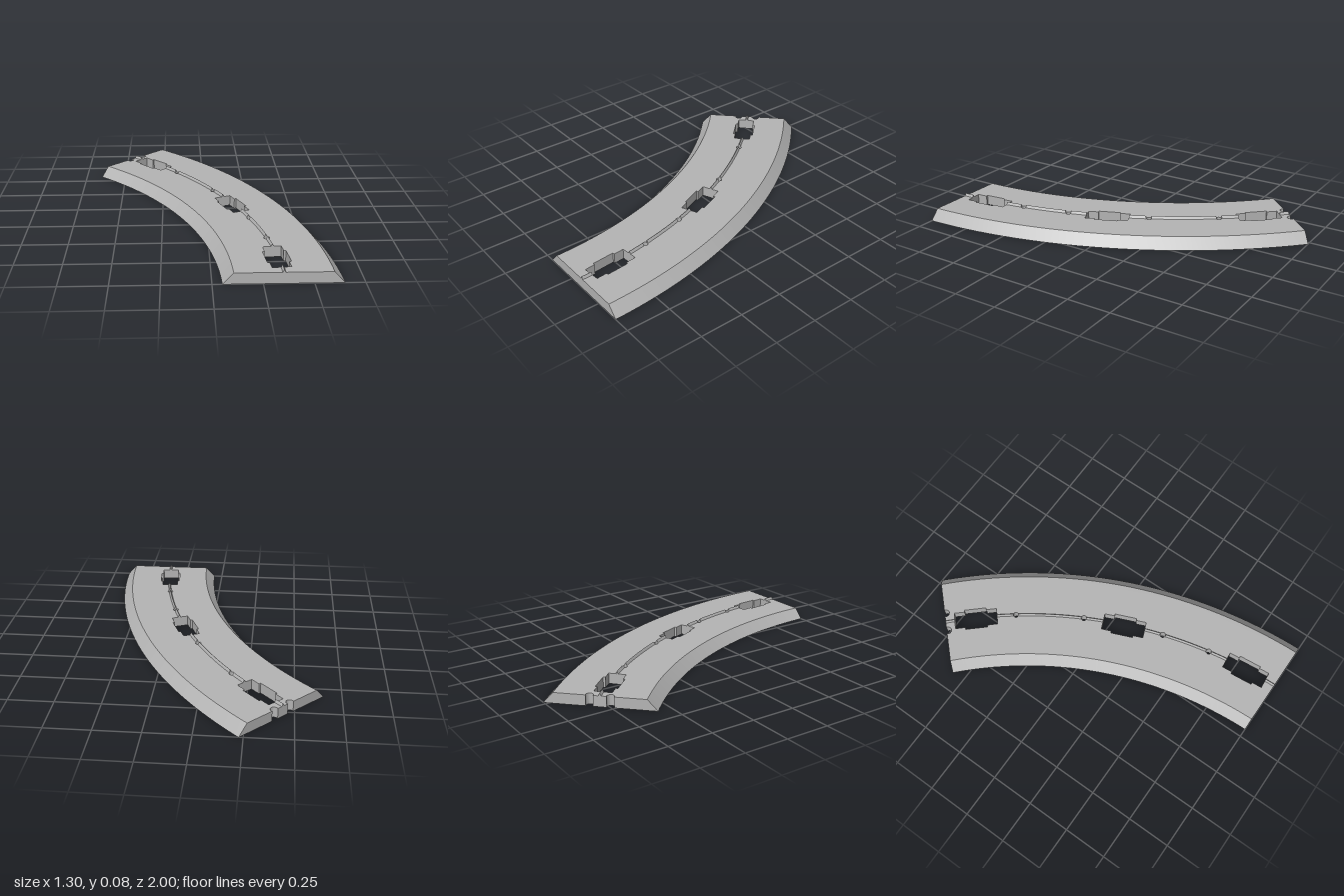
import * as THREE from 'three';
import { toCreasedNormals, mergeGeometries } from 'three/addons/utils/BufferGeometryUtils.js';

// Plan: arcs around (CX, CZ); angle t runs from the front end to the back end
const CX = -2.205, CZ = 1.059;
const R = 2.556, INNER = R - 0.3, OUTER = R + 0.3;
const HEIGHT = 0.06, BEVEL = 0.055, RIDGE = 0.0155, STEPS = 48;
const deg = THREE.MathUtils.degToRad;
const slots = [5.45, 22.5, 42.3].map(deg);
const pins = [10.8, 17.2, 27.9, 36.95].map(deg);

// Both ends are cut by straight planes lying slightly past the radial line
const startAngle = (r) => Math.asin(0.059 / r);
const endAngle = (r) => Math.PI / 4 + Math.asin(0.059 / r);
const polar = (r, t) => new THREE.Vector2(CX + r * Math.cos(t), r * Math.sin(t) - CZ);
const along = (r, u) => polar(r, THREE.MathUtils.lerp(startAngle(r), endAngle(r), u));

function outline() {
  const pts = [];
  for (let i = 0; i <= STEPS; i++) pts.push(along(OUTER, i / STEPS));
  // two round notches in the back end
  const mid = along(R, 1), k = Math.SQRT1_2, rad = 0.021;
  for (const s of [-0.055, 0.055]) {
    for (let i = 0; i <= 12; i++) {
      const a = deg(-20 + (220 * i) / 12);
      const across = s - rad * Math.cos(a);
      const inward = rad * (Math.sin(a) + Math.sin(deg(20)));
      pts.push(new THREE.Vector2(mid.x + k * (inward - across), mid.y - k * (inward + across)));
    }
  }
  for (let i = STEPS; i >= 0; i--) pts.push(along(INNER, i / STEPS));
  return new THREE.Shape(pts);
}

// Cross-shaped opening turned to follow the curve
function slotHole(t) {
  const c = polar(R - 0.006, t), e = [Math.cos(t), Math.sin(t)];
  const w = 0.049, W = 0.061, l = 0.065, L = 0.125;
  const cross = [[w, -L], [w, -l], [W, -l], [W, l], [w, l], [w, L],
    [-w, L], [-w, l], [-W, l], [-W, -l], [-w, -l], [-w, -L]];
  return new THREE.Path(cross.map(([a, b]) =>
    new THREE.Vector2(c.x + a * e[0] - b * e[1], c.y + a * e[1] + b * e[0])));
}

function pinHole(t) {
  const c = polar(R, t);
  return new THREE.Path().absarc(c.x, c.y, 0.016, 0, Math.PI * 2, true);
}

function slabGeometry() {
  const shape = outline();
  shape.holes.push(...slots.map(slotHole), ...pins.map(pinHole));
  const geo = new THREE.ExtrudeGeometry(shape, { depth: HEIGHT, bevelEnabled: false, curveSegments: 8 });
  // pull the top of both long edges inward to make the sloping shoulders
  const p = geo.attributes.position;
  for (let i = 0; i < p.count; i++) {
    if (p.getZ(i) < HEIGHT / 2) continue;
    const dx = p.getX(i) - CX, dy = p.getY(i) + CZ;
    const r = Math.hypot(dx, dy), t = Math.atan2(dy, dx);
    const u = (t - startAngle(r)) / (endAngle(r) - startAngle(r));
    let target = 0;
    if (Math.abs(r - OUTER) < 0.001) target = OUTER - BEVEL;
    if (Math.abs(r - INNER) < 0.001) target = INNER + BEVEL;
    if (target) {
      const q = along(target, u);
      p.setXY(i, q.x, q.y);
    }
  }
  geo.rotateX(-Math.PI / 2);
  geo.deleteAttribute('normal');
  return toCreasedNormals(geo, 0.4);
}

// One piece of the thin triangular ridge, with closed ends
function ridgeGeometry(t0, t1) {
  const profile = [[R + 0.008, HEIGHT], [R, HEIGHT + RIDGE], [R - 0.008, HEIGHT]]
    .map(([x, y]) => new THREE.Vector2(x, y));
  const n = Math.max(2, Math.ceil((t1 - t0) / 0.015));
  const sweep = new THREE.LatheGeometry(profile, n, t0 + Math.PI / 2, t1 - t0);
  const caps = [t0, t1].map((t) => new THREE.ShapeGeometry(new THREE.Shape(profile)).rotateY(t));
  return toCreasedNormals(mergeGeometries([sweep, ...caps]), 0.4).translate(CX, 0, CZ);
}

export function createModel() {
  const group = new THREE.Group();
  group.name = 'curvedRoadSection';
  const grey = new THREE.MeshStandardMaterial({ color: 0xb4b4b4, side: THREE.DoubleSide });
  grey.name = 'grey';

  const slab = new THREE.Mesh(slabGeometry(), grey);
  slab.name = 'roadSlab';
  group.add(slab);

  // ridge pieces run between the openings
  const gaps = [...slots.map((t) => [t, 0.125 / R]), ...pins.map((t) => [t, 0.016 / R])]
    .sort((a, b) => a[0] - b[0]);
  let from = startAngle(R);
  for (const [t, half] of [...gaps, [endAngle(R), 0]]) {
    const ridge = new THREE.Mesh(ridgeGeometry(from, t - half), grey);
    ridge.name = 'centreRidge';
    group.add(ridge);
    from = t + half;
  }
  return group;
}
